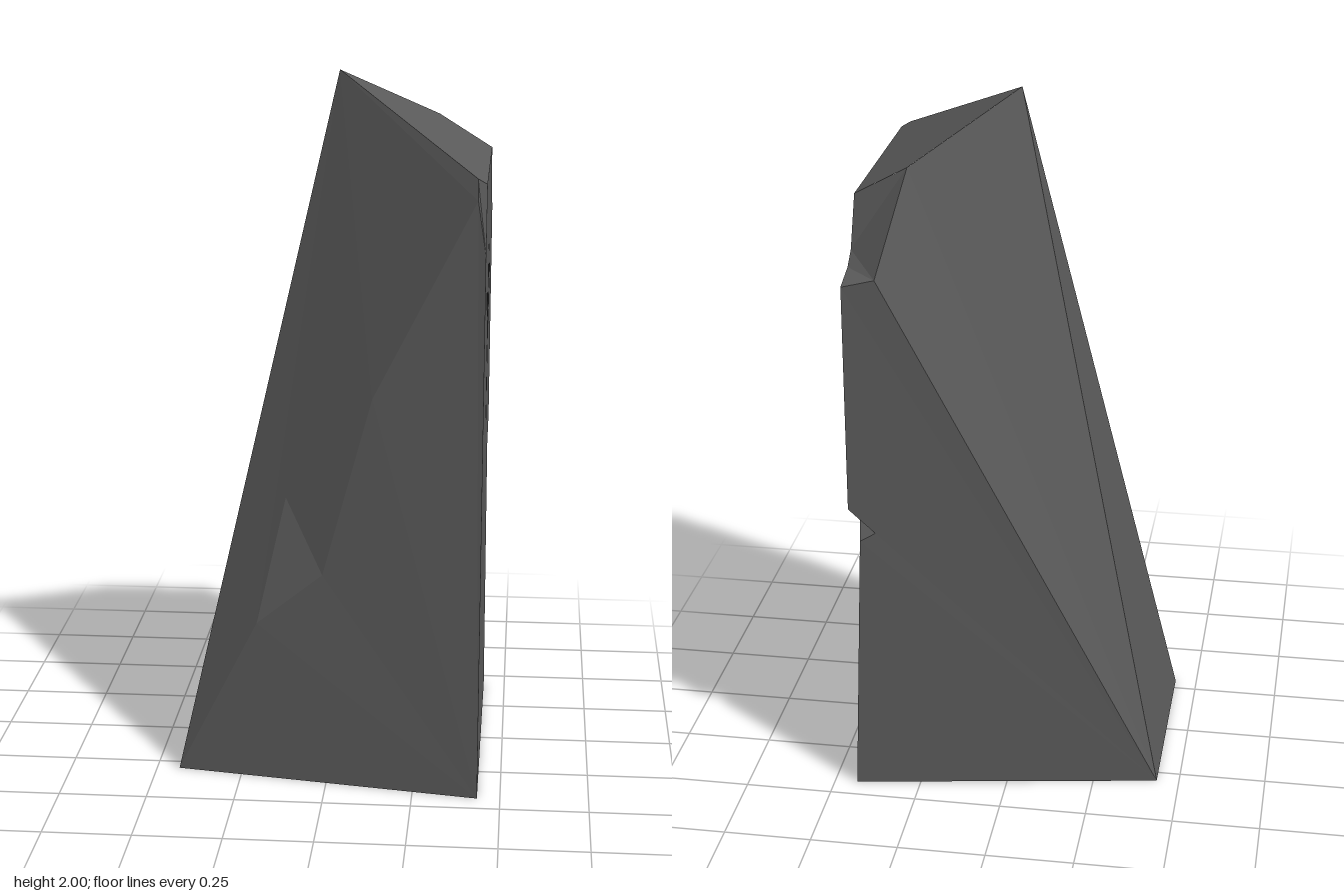
import * as THREE from 'three';

const stone = new THREE.MeshStandardMaterial({ color: 0x5a5a5a });
stone.name = 'dark stone';

const v3 = (x, y, z) => new THREE.Vector3(x, y, z);
const v2 = (x, y) => new THREE.Vector2(x, y);

function mesh(name, geometry) {
  const m = new THREE.Mesh(geometry, stone);
  m.name = name;
  return m;
}

// Flat facets; each is a fan of corners, counter-clockwise from outside
function facets(name, polygons) {
  const points = [];
  for (const p of polygons)
    for (let i = 1; i < p.length - 1; i++) points.push(p[0], p[i], p[i + 1]);
  const g = new THREE.BufferGeometry().setFromPoints(points);
  g.computeVertexNormals();
  return mesh(name, g);
}

// A flat face with carvings sunk into it: pierced surface, walls and floors
function carvedFace(name, outline, carvings, depth) {
  const group = new THREE.Group();
  group.name = name;
  const surface = new THREE.Shape(outline);
  surface.holes = carvings.map((c) => new THREE.Path(c));
  group.add(mesh(name + 'Surface', new THREE.ShapeGeometry(surface)));

  const walls = [];
  for (const c of carvings) {
    c.forEach((a, i) => {
      const b = c[(i + 1) % c.length];
      walls.push([v3(b.x, b.y, -depth), v3(a.x, a.y, -depth), v3(a.x, a.y, 0), v3(b.x, b.y, 0)]);
    });
  }
  group.add(facets(name + 'CarvingWalls', walls));

  const floor = new THREE.ShapeGeometry(carvings.map((c) => new THREE.Shape(c)));
  floor.translate(0, 0, -depth);
  group.add(mesh(name + 'CarvingFloor', floor));
  return group;
}

// Place a face drawn in (u, v) on a plane
function place(face, u, v, origin) {
  const m = new THREE.Matrix4().makeBasis(u, v, u.clone().cross(v));
  face.applyMatrix4(m.setPosition(origin));
  return face;
}

// Sun carving: a disc ringed by wavy flames, long and short in turn
function sunCarving(cx, cy) {
  const disc = [];
  for (let i = 0; i < 24; i++) {
    const a = (i / 24) * Math.PI * 2;
    disc.push(v2(cx + 0.037 * Math.cos(a), cy + 0.037 * Math.sin(a)));
  }
  const carvings = [disc];
  for (let i = 0; i < 8; i++) {
    const long = i % 2 === 0;
    const start = 0.046, end = long ? 0.106 : 0.086, w = long ? 0.017 : 0.008;
    // along, right edge, left edge
    const steps = [[0, -1, 1], [0.25, -0.6, 0.7], [0.5, -0.25, 0.75], [0.75, -0.35, 0.35]];
    const profile = [
      ...steps.map(([t, r]) => [t, r]),
      [1, 0],
      ...steps.map(([t, , l]) => [t, l]).reverse(),
    ];
    const a = (i / 8) * Math.PI * 2, c = Math.cos(a), s = Math.sin(a);
    carvings.push(profile.map(([t, side]) => {
      const r = start + (end - start) * t, o = side * w;
      return v2(cx + r * c - o * s, cy + r * s + o * c);
    }));
  }
  return carvings;
}

export function createModel() {
  const model = new THREE.Group();
  model.name = 'standingStone';

  // Base corners and peak
  const backRight = v3(-0.435, 0, -0.295), frontRight = v3(-0.435, 0, 0.295);
  const frontLeft = v3(0.435, 0, 0.435), backLeft = v3(0.435, 0, -0.435);
  const peak = v3(0.01, 2, 0);

  // Small bevel on the front upper corner
  const bevA = v3(0.41, 1.765, 0.405), bevB = v3(0.435, 1.75, 0.4);
  const bevC = v3(0.435, 1.56, 0.435), bevD = v3(0.412, 1.71, 0.43);

  // Broken back upper corner
  const brkE = v3(0.28, 1.841, -0.275), brkF = v3(0.435, 1.75, -0.24);
  const brkG = v3(0.435, 1.61, -0.3), brkG2 = v3(0.435, 1.575, -0.345);
  const brkH = v3(0.435, 1.55, -0.435), brkI = v3(0.345, 1.57, -0.425);

  // Notch in the back left edge
  const notTop = v3(0.435, 0.89, -0.435), notSide = v3(0.435, 0.845, -0.28);
  const notLow = v3(0.405, 0.79, -0.43), notBack = v3(0.325, 0.835, -0.414);

  // Shallow chip on the front ridge
  const chipTop = v3(0.13, 1.15, 0.386), chipIn = v3(-0.12, 0.83, 0.281);
  const chipOut = v3(-0.01, 0.63, 0.363), chipLow = v3(-0.2, 0.47, 0.333);

  model.add(facets('stoneBody', [
    [backRight, backLeft, frontLeft, frontRight],
    [backRight, frontRight, peak],
    [peak, frontRight, chipLow, chipIn, chipTop, bevD, bevA],
    [frontLeft, bevC, bevD, chipTop, chipOut, chipLow, frontRight],
    [backRight, peak, brkE, brkI],
    [backRight, brkI, brkH, notTop, notBack, notLow, backLeft],
    [backLeft, notLow, notSide],
  ]));
  model.add(facets('ridgeChip', [[chipLow, chipOut, chipIn], [chipOut, chipTop, chipIn]]));
  model.add(facets('cornerBevel', [[bevC, bevB, bevA, bevD]]));
  model.add(facets('brokenCorner', [
    [brkF, brkG, brkE], [brkE, brkG, brkI], [brkG, brkG2, brkI], [brkG2, brkH, brkI],
  ]));
  model.add(facets('edgeNotch', [[notSide, notBack, notTop], [notSide, notLow, notBack]]));

  // Tall left face with a forked mark
  const u = v3(0, 0, -1);
  const sideOutline = [frontLeft, backLeft, notSide, notTop, brkH, brkG2, brkG, brkF, bevB, bevC]
    .map((p) => v2(-p.z, p.y));
  const half = [[0.022, 0.985], [0.022, 1.2], [0.05, 1.26], [0.19, 1.405],
    [0.155, 1.43], [0.022, 1.305], [0.022, 1.51]];
  const mark = [
    ...half.map(([x, y]) => v2(x, y)),
    ...half.map(([x, y]) => v2(-x, y)).reverse(),
  ];
  model.add(place(carvedFace('markFace', sideOutline, [mark], 0.02),
    u, v3(0, 1, 0), v3(0.435, 0, 0)));

  // Sloping top face with a sun
  const origin = v3(0.435, 1.75, 0);
  const slope = peak.clone().sub(origin).normalize();
  const topOutline = [bevB, brkF, brkE, peak, bevA]
    .map((p) => v2(-p.z, p.clone().sub(origin).dot(slope)));
  model.add(place(carvedFace('sunFace', topOutline, sunCarving(0, 0.288), 0.012),
    u, slope, origin));

  return model;
}
